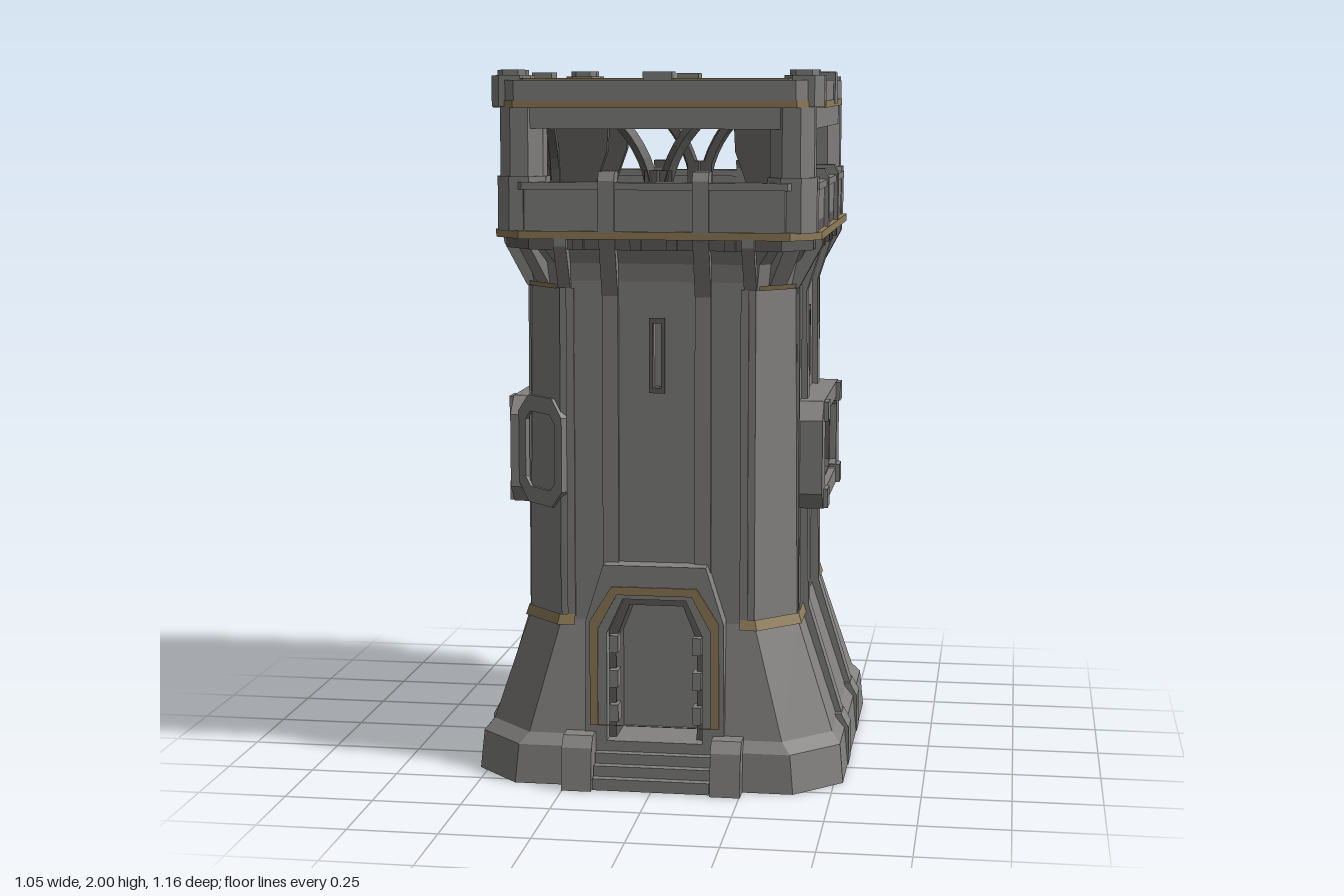
import * as THREE from 'three';

const mat = (name, color, side = THREE.FrontSide) => {
  const m = new THREE.MeshStandardMaterial({ color, flatShading: true, side });
  m.name = name;
  return m;
};

export function createModel() {
  const stone = mat('stone', 0x838280, THREE.DoubleSide);
  const darkStone = mat('dark stone', 0x5f5e5c);
  const roofMat = mat('roof slate', 0x5a5b54);
  const grooveMat = mat('groove', 0x3b3b37);
  const gold = mat('dull gold', 0x907d5a, THREE.DoubleSide);

  const model = new THREE.Group();
  model.name = 'watchtower';
  const root = new THREE.Group();
  root.name = 'tower';
  root.position.z = -0.015;
  model.add(root);

  const add = (parent, name, geo, material, x = 0, y = 0, z = 0) => {
    const m = new THREE.Mesh(geo, material);
    m.name = name;
    m.position.set(x, y, z);
    parent.add(m);
    return m;
  };
  const box = (parent, name, w, h, d, material, x, y, z) =>
    add(parent, name, new THREE.BoxGeometry(w, h, d), material, x, y, z);
  const poly = (pts) => new THREE.Shape(pts.map(([x, y]) => new THREE.Vector2(x, y)));
  const octPts = (a, b, c) => [[c - a, -b], [a - c, -b], [a, c - b], [a, b - c], [a - c, b], [c - a, b], [-a, b - c], [-a, c - b]];
  const extrude = (shape, depth) => new THREE.ExtrudeGeometry(shape, { depth, bevelEnabled: false });
  const plate = (shape, depth) => extrude(shape, depth).rotateY(Math.PI / 2);

  // Chamfered slab, or a ring when an inner size is given
  const slab = (name, y0, y1, material, outer, inner, x = 0, z = 0) => {
    const s = poly(octPts(...outer));
    if (inner) s.holes.push(poly(octPts(...inner)));
    return add(root, name, extrude(s, y1 - y0).rotateX(-Math.PI / 2), material, x, y0, z);
  };

  // Loft through chamfered cross-sections [y, hx, hz, chamfer, front strip]; each side has a middle strip.
  // Strips: 1 front, 5 right, 9 back, 13 left; 3, 7, 11, 15 are the chamfers.
  const section = ([y, hx, hz, c, a = 0.17]) => {
    const b = 0.2;
    return [[c - hx, hz], [-a, hz], [a, hz], [hx - c, hz], [hx, hz - c], [hx, b], [hx, -b], [hx, c - hz],
      [hx - c, -hz], [a, -hz], [-a, -hz], [c - hx, -hz], [-hx, c - hz], [-hx, -b], [-hx, b], [-hx, hz - c]]
      .map(([x, z]) => [x, y, z]);
  };
  const loft = (name, levels, material, keep = () => true) => {
    const pos = [];
    const rings = levels.map(section);
    for (let k = 0; k + 1 < rings.length; k++) {
      for (let i = 0; i < 16; i++) {
        if (!keep(i)) continue;
        const j = (i + 1) % 16, p = rings[k], q = rings[k + 1];
        pos.push(...p[i], ...p[j], ...q[j], ...p[i], ...q[j], ...q[i]);
      }
    }
    const g = new THREE.BufferGeometry();
    g.setAttribute('position', new THREE.Float32BufferAttribute(pos, 3));
    g.computeVertexNormals();
    return add(root, name, g, material);
  };

  // Shell: plinth and flared foot with door gaps, chamfered corners, neck, trims
  slab('underside', 0, 0.005, darkStone, [0.523, 0.553, 0.13], null, 0, -0.01);
  loft('flaredBase', [[0, 0.525, 0.555, 0.13], [0.11, 0.515, 0.545, 0.13], [0.14, 0.49, 0.52, 0.13],
    [0.46, 0.385, 0.465, 0.11]], stone, (i) => i !== 1 && i !== 9).position.z = -0.01;
  loft('bodyCorners', [[0.45, 0.385, 0.46, 0.11], [1.42, 0.375, 0.45, 0.1]], stone, (i) => i % 4 === 3);
  loft('neck', [[1.4, 0.378, 0.453, 0.1], [1.47, 0.385, 0.46, 0.1], [1.53, 0.415, 0.49, 0.09]], stone);
  loft('lowerTrim', [[0.446, 0.399, 0.475, 0.115, 0.235], [0.475, 0.39, 0.466, 0.112, 0.235]], gold, (i) => i % 4 !== 1);
  loft('upperTrim', [[1.398, 0.382, 0.457, 0.1], [1.412, 0.386, 0.461, 0.1]], gold, (i) => i % 4 === 3);

  // Octagonal window surround; local +x points outward
  const windowFrame = (parent, out, y, z, hw, hh, recess) => {
    const s = poly(octPts(hw, hh, 0.05));
    s.holes.push(poly(octPts(hw * 0.68, hh * 0.7, 0.025)));
    add(parent, 'windowFrame', plate(s, 0.07), stone, out, y, z);
    const r = poly(octPts(hw * 0.78, hh * 0.84, 0.03));
    r.holes.push(poly(octPts(hw * 0.64, hh * 0.66, 0.02)));
    add(parent, 'windowInnerFrame', plate(r, 0.05), darkStone, out, y, z);
    add(parent, 'windowPanel', plate(poly(octPts(hw * 0.7, hh * 0.72, 0.03)), 0.015), stone, out - recess, y, z);
  };

  // Rib with an outward profile of [out, y], extruded sideways
  const rib = (parent, name, pts, z, w, inset = 0.05) => {
    const back = [...pts].reverse().map(([o, y]) => [o - inset, y]);
    add(parent, name, extrude(poly([...pts, ...back]), w), stone, 0, 0, z - w / 2);
  };

  const doorway = (g, front) => {
    const arch = (w, top, y0) => [[-w, y0], [w, y0], [w, top - 0.1], [w * 0.66, top], [-w * 0.66, top], [-w, top - 0.1]];
    const layer = (name, outer, inner, x, depth, m) => {
      outer.holes.push(poly(inner));
      add(g, name, plate(outer, depth), m, x, 0, 0);
    };
    const surround = poly([[-0.2, 0], [0.2, 0], [0.195, 0.47], [0.145, 0.63], [-0.145, 0.63], [-0.195, 0.47]]);
    layer('doorSurround', surround, arch(0.135, 0.535, 0.02), 0.33, 0.185, stone);
    layer('doorTrim', poly(arch(0.183, 0.57, 0.17)), arch(0.16, 0.547, 0.171), 0.515, 0.005, gold);
    layer('innerDoorFrame', poly(arch(0.14, 0.54, 0.01)), arch(0.115, 0.51, 0.02), 0.33, 0.145, darkStone);
    add(g, 'door', plate(poly(arch(0.13, 0.53, 0.01)), 0.02), stone, front ? 0.33 : 0.41, 0, 0);
    for (const s of [-1, 1]) {
      for (const y of [0.2, 0.3, 0.4]) box(g, 'jambBlock', 0.05, 0.05, 0.025, stone, 0.475, y, s * 0.118);
      if (front) rib(g, 'stepCheek', [[0.6, 0], [0.585, 0.12], [0.56, 0.15]], s * 0.21, 0.085, 0.12);
    }
    // Steps at the front, a plain sill at the back
    const steps = front ? [[0.59, 0.035], [0.565, 0.065], [0.54, 0.095], [0.515, 0.125]] : [[0.56, 0.12]];
    for (const [out, h] of steps) box(g, 'doorStep', out - 0.33, h - 0.002, front ? 0.33 : 0.36, stone, (out + 0.33) / 2, h / 2 + 0.001, 0);
  };

  // The four faces: wall with slit, ribs, parapet ribs, struts
  const faces = [
    ['rightSide', 0, 0.38, 0.35, 0.17, false], ['leftSide', Math.PI, 0.38, 0.35, 0.17, false],
    ['frontSide', -Math.PI / 2, 0.455, 0.275, 0.13, true], ['backSide', Math.PI / 2, 0.455, 0.275, 0.13, true],
  ];
  for (const [name, angle, h, half, ribAt, hasDoor] of faces) {
    const g = new THREE.Group();
    g.name = name;
    g.rotation.y = angle;
    const shift = hasDoor ? 0 : 0.015 * Math.cos(angle);
    g.position.z = Math.abs(shift);
    root.add(g);

    const notch = hasDoor ? [[-0.14, 0.44], [-0.14, 0.57], [0.14, 0.57], [0.14, 0.44]] : [];
    const wall = poly([[shift - half, 0.44], ...notch, [half + shift, 0.44], [half + shift, 1.43], [shift - half, 1.43]]);
    const sw = hasDoor ? 0.012 : 0.02;
    const rect = (w, y0, y1) => [[-w, y0], [w, y0], [w, y1], [-w, y1]];
    wall.holes.push(poly(rect(sw + 0.004, 1.12, 1.31)));
    if (!hasDoor) wall.holes.push(poly(rect(0.195, 0.81, 1.02)));
    add(g, 'wall', plate(wall, 0.08), stone, h - 0.08, 0, 0);
    const slit = poly(rect(sw + 0.01, 1.11, 1.32));
    slit.holes.push(poly(rect(sw, 1.125, 1.305)));
    add(g, 'slitFrame', plate(slit, 0.03), darkStone, h - 0.025, 0, 0);

    for (const s of [-1, 1]) {
      const upper = [[h + 0.014, 1.38], [h + 0.065, 1.54]];
      if (hasDoor) rib(g, 'wallRib', [[h + 0.016, 0.6], ...upper], s * ribAt, 0.045);
      else {
        rib(g, 'wallRib', [[0.51, 0.13], [0.405, 0.47], ...upper], s * ribAt, 0.06);
        rib(g, 'plinthBlock', [[0.527, 0], [0.527, 0.11], [0.505, 0.15]], s * 0.175, 0.09, 0.07);
        // Deep fin bracing the roof from inside
        const fin = [[0.36, 1.58], [0.36, 1.87], [0.18, 1.87], [0.185, 1.77], [0.21, 1.7], [0.25, 1.58]];
        add(g, 'roofBrace', extrude(poly(fin), 0.03), darkStone, 0, 0, s * ribAt - 0.015);
        // Clips over the window frame
        for (const t of [-1, 1]) box(g, 'windowClip', 0.085, 0.055, 0.066, stone, 0.42, 0.915 + t * 0.125, s * 0.216);
      }
      rib(g, 'edgeStrip', [[h + 0.008, 0.47], [h + 0.006, 1.4]], s * (half - 0.03), 0.022, 0.02);
      rib(g, 'cornerCorbel', [[h + 0.005, 1.4], [h + 0.07, 1.52], [h + 0.07, 1.545]], s * (half - 0.015), 0.035, 0.06);
      for (const t of [0.05, 0.21]) box(g, 'ledgeBlock', 0.04, 0.03, 0.03, darkStone, h + 0.045, 1.525, s * t);
      rib(g, 'parapetRib', [[h + 0.072, 1.56], [h + 0.072, 1.7], [h + 0.06, 1.725]], s * ribAt, 0.045, 0.06);
      // Curved struts holding the roof
      const o = h - 0.04, z = hasDoor ? s * 0.02 : s * ribAt;
      box(g, 'strutPost', 0.035, 0.15, 0.035, darkStone, o, 1.65, z);
      for (const d of hasDoor ? [s] : [-1, 1]) {
        const curve = new THREE.QuadraticBezierCurve3(new THREE.Vector3(o, 1.69, z),
          new THREE.Vector3(o, 1.79, z + d * 0.02), new THREE.Vector3(o, 1.87, z + d * 0.1));
        add(g, 'curvedStrut', new THREE.TubeGeometry(curve, 6, 0.02, 5), darkStone);
      }
    }
    if (hasDoor) doorway(g, name === 'frontSide');
    else windowFrame(g, 0.38, 0.915, 0, 0.3, 0.155, 0.08);
  }

  // Small extra window on the front corner
  const corner = new THREE.Group();
  corner.name = 'cornerWindow';
  corner.rotation.y = -Math.PI * 0.75;
  root.add(corner);
  windowFrame(corner, 0.455, 0.93, -0.035, 0.11, 0.155, -0.035);

  // Lookout: ledge, floor, parapet, lintel
  slab('ledgeUnderside', 1.51, 1.54, darkStone, [0.43, 0.505, 0.08]);
  slab('ledgeTrim', 1.54, 1.562, gold, [0.455, 0.525, 0.08]);
  slab('lookoutFloor', 1.56, 1.59, darkStone, [0.44, 0.51, 0.08]);
  slab('parapet', 1.56, 1.69, stone, [0.44, 0.515, 0.08], [0.4, 0.47, 0.06]);
  slab('parapetCap', 1.675, 1.695, stone, [0.447, 0.522, 0.08], [0.395, 0.465, 0.06]);
  slab('lintel', 1.84, 1.9, stone, [0.43, 0.5, 0.07], [0.33, 0.4, 0.04]);

  // Corner posts, caps and diagonal corbels
  for (const sx of [-1, 1]) for (const sz of [-1, 1]) {
    slab('cornerPost', 1.56, 1.91, stone, [0.06, 0.065, 0.035], null, sx * 0.375, sz * 0.44);
    slab('cornerPostFoot', 1.56, 1.71, stone, [0.068, 0.072, 0.04], null, sx * 0.375, sz * 0.44);
    const capX = sx * (0.39 + sz * 0.015), capZ = sz * 0.455 - 0.025;
    slab('cornerCap', 1.9, 1.985, stone, [0.055, 0.055, 0.025], null, capX, capZ);
    slab('cornerCapTop', 1.985, 2, stone, [0.04, 0.04, 0.018], null, capX, capZ);
    const g = new THREE.Group();
    g.name = 'diagonalCorbel';
    g.position.set(sx * 0.325, 0, sz * 0.4);
    g.rotation.y = Math.atan2(-sz, sx);
    root.add(g);
    rib(g, 'corbelRib', [[0.01, 1.41], [0.075, 1.52], [0.075, 1.545]], 0, 0.06, 0.06);
  }

  // Roof slabs, slightly narrower toward the back
  const roofSlab = (...args) => {
    const m = slab(...args);
    const p = m.geometry.attributes.position;
    for (let i = 0; i < p.count; i++) p.setX(i, p.getX(i) * (1 + 0.06 * p.getZ(i)));
    m.geometry.computeVertexNormals();
    m.position.z = -0.02;
  };
  roofSlab('roofDeck', 1.9, 1.95, roofMat, [0.43, 0.5, 0.06]);
  roofSlab('roofSideTrim', 1.897, 1.917, gold, [0.448, 0.535, 0.07], [0.4, 0.47, 0.05]);
  roofSlab('roofRim', 1.917, 1.972, stone, [0.445, 0.535, 0.07], [0.39, 0.478, 0.05]);
  roofSlab('roofTopTrim', 1.972, 1.977, gold, [0.415, 0.51, 0.06], [0.393, 0.488, 0.05]);
  box(root, 'roofGutter', 0.76, 0.008, 0.055, darkStone, 0, 1.951, 0.43);
  box(root, 'frontEdgeBlock', 0.08, 0.09, 0.065, stone, 0.01, 1.95, 0.475);
  box(root, 'backEdgeBlock', 0.07, 0.09, 0.075, stone, -0.05, 1.95, -0.52);
  for (const s of [-1, 1]) {
    box(root, 'sideEdgeBlock', 0.06, 0.09, 0.08, stone, s * 0.42, 1.95, -0.065);
    for (const t of [-1, 1]) {
      const mark = box(root, 'roofMark', 0.04, 0.004, 0.006, grooveMat, s * 0.31, 1.951, t * 0.37);
      mark.rotation.y = s * t * Math.PI / 4;
    }
  }
  const ring = add(root, 'roofRing', new THREE.RingGeometry(0.346, 0.351, 64).rotateX(-Math.PI / 2), grooveMat, 0, 1.953, -0.015);
  ring.scale.z = 1.09;

  return model;
}
